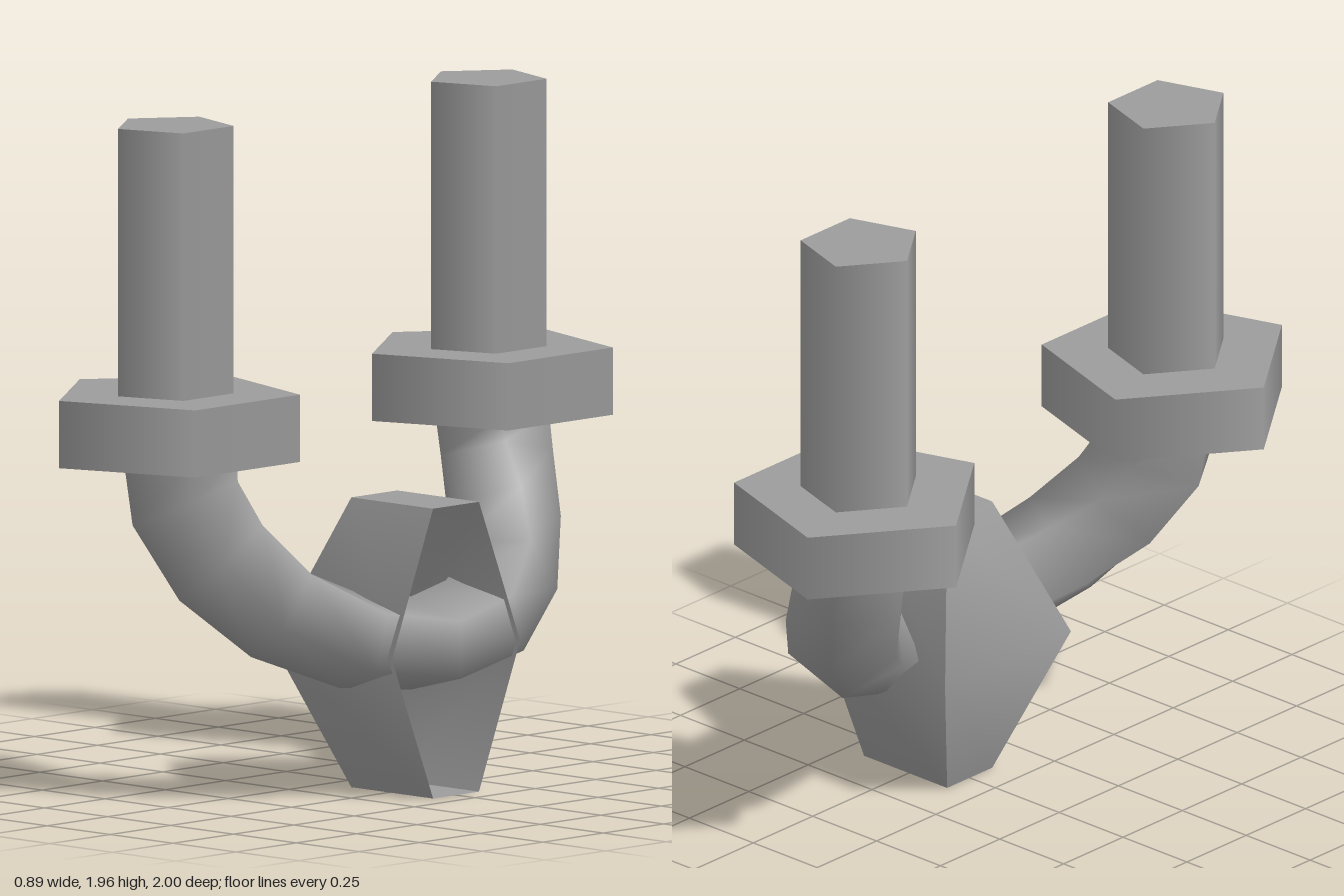
import * as THREE from 'three';
import { toCreasedNormals } from 'three/addons/utils/BufferGeometryUtils.js';

const material = new THREE.MeshStandardMaterial({ color: 0x9d9d9d });
const CENTER_X = -0.08, POST_Z = 0.648;

function addMesh(group, name, geometry, mat = material) {
  const mesh = new THREE.Mesh(geometry, mat);
  mesh.name = name;
  group.add(mesh);
  return mesh;
}

// Five-sided upright prism with one corner pointing to -x
function pentagonPrism(radius, bottom, top) {
  const g = new THREE.CylinderGeometry(radius, radius, top - bottom, 5, 1, false, -Math.PI / 2);
  return g.translate(CENTER_X, (top + bottom) / 2, 0);
}

// Five-sided tube whose flat side keeps facing +x, slimmer in height towards the middle
function bendGeometry() {
  const half = [ // x, y, z, radius in the plane of the bend
    [-0.065, 1.0, 0.645, 0.172], [-0.045, 0.865, 0.642, 0.17], [0.045, 0.70, 0.58, 0.166],
    [0.16, 0.56, 0.455, 0.158], [0.265, 0.455, 0.24, 0.146], [0.302, 0.423, 0, 0.142],
  ];
  const path = [...half, ...half.slice(0, -1).reverse().map(([x, y, z, r]) => [x, y, -z, r])];
  const points = path.map(([x, y, z]) => new THREE.Vector3(x, y, z));
  const last = points.length - 1, sides = 5, width = 0.177, positions = [], index = [];
  points.forEach((p, i) => {
    const t = points[Math.min(i + 1, last)].clone().sub(points[Math.max(i - 1, 0)]);
    if (i === 0 || i === last) t.set(0, i === 0 ? -1 : 1, 0);
    t.normalize();
    const e1 = new THREE.Vector3(1, 0, 0).addScaledVector(t, -t.x).normalize();
    const e2 = t.clone().cross(e1);
    for (let j = 0; j < sides; j++) {
      const a = (j + 0.5) * 2 * Math.PI / sides;
      const v = p.clone().addScaledVector(e1, width * Math.cos(a))
        .addScaledVector(e2, path[i][3] * Math.sin(a));
      positions.push(v.x, v.y, v.z);
      if (i < last) {
        const k = (j + 1) % sides, n = i * sides;
        index.push(n + j, n + k, n + sides + k, n + j, n + sides + k, n + sides + j);
      }
    }
  });
  const g = new THREE.BufferGeometry();
  g.setAttribute('position', new THREE.Float32BufferAttribute(positions, 3));
  g.setIndex(index);
  g.computeVertexNormals();
  return g;
}

// Hexagonal shell, open towards +x, with a wedge-shaped back
function shellGeometry() {
  // back x, y, z around the hexagon, counter-clockwise seen from +x
  const ring = [
    [0.1, 0, 0.095], [0.1, 0, -0.095], [-0.05, 0.42, -0.265],
    [0.1, 0.84, -0.095], [0.1, 0.84, 0.095], [-0.05, 0.42, 0.265],
  ];
  const positions = [];
  const quad = (a, b, c, d) => positions.push(...a, ...b, ...c, ...a, ...c, ...d);
  const front = ring.map(([, y, z]) => [0.425, y, z]);
  ring.forEach((p, i) => {
    const k = (i + 1) % 6;
    quad(p, ring[k], front[k], front[i]);
  });
  quad(ring[0], ring[5], ring[2], ring[1]);
  quad(ring[5], ring[4], ring[3], ring[2]);
  const g = new THREE.BufferGeometry();
  g.setAttribute('position', new THREE.Float32BufferAttribute(positions, 3));
  return toCreasedNormals(g, 0.9); // soft across the middle, sharp elsewhere
}

export function createModel() {
  const group = new THREE.Group();
  group.name = 'pipeBend';

  // Upright pipes and their flanges
  for (const [side, s] of [['front', 1], ['back', -1]]) {
    addMesh(group, side + 'Pipe', pentagonPrism(0.177, 1.18, 1.96)).position.z = s * POST_Z;
    addMesh(group, side + 'Flange', pentagonPrism(0.369, 0.99, 1.185)).position.z = s * POST_Z;
  }

  // Curved pipe joining the two flanges
  addMesh(group, 'bend', bendGeometry());

  // Open shell around the lowest part of the bend
  const shellMaterial = material.clone();
  shellMaterial.side = THREE.DoubleSide;
  addMesh(group, 'shell', shellGeometry(), shellMaterial);

  return group;
}
